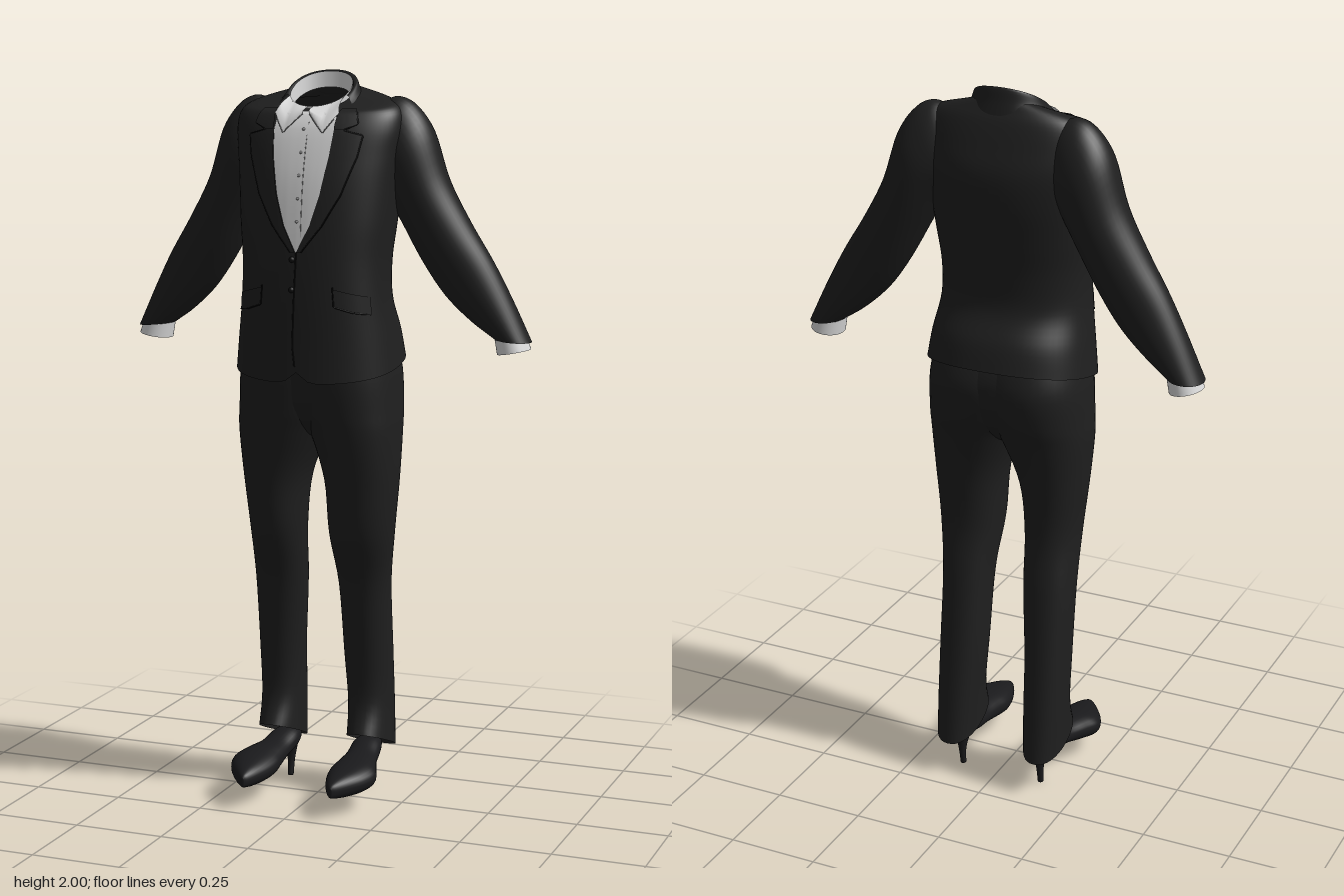
import * as THREE from 'three';

const mat = (name, color) => new THREE.MeshStandardMaterial({ name, color, side: THREE.DoubleSide });

// Catmull-Rom value between numbers b and c
const spline = (a, b, c, d, t) =>
  0.5 * (2 * b + (c - a) * t + (2 * a - 5 * b + 4 * c - d) * t * t + (3 * b - a - 3 * c + d) * t * t * t);

// Skin over rings. Ring: [x0,y0, x1,y1, zFront,zBack, frontLift]
function loft(rings, { sub = 5, seg = 40, e = 0.9, a0 = 0, a1 = Math.PI * 2, caps = 0 } = {}) {
  const n = rings.length, rows = [], pos = [], idx = [];
  const at = (i, p) => rings[Math.min(n - 1, Math.max(0, i))][p] ?? 0;
  for (let i = 0; i < n - 1; i++)
    for (let k = 0; k < sub || (i === n - 2 && k === sub); k++)
      rows.push([0, 1, 2, 3, 4, 5, 6].map(p => spline(at(i - 1, p), at(i, p), at(i + 1, p), at(i + 2, p), k / sub)));
  const pw = v => Math.sign(v) * Math.abs(v) ** e;
  const closed = a1 - a0 > 6.28, cols = closed ? seg : seg + 1;
  for (const [x0, y0, x1, y1, zf, zb, dy] of rows)
    for (let k = 0; k < cols; k++) {
      const a = a0 + (a1 - a0) * k / seg, c = pw(Math.cos(a)), s = pw(Math.sin(a));
      pos.push((x0 + x1) / 2 + (x0 - x1) / 2 * c, (y0 + y1) / 2 + (y0 - y1) / 2 * c + dy * s, (zf + zb) / 2 + (zf - zb) / 2 * s);
    }
  const flip = (rings[n - 1][1] - rings[0][1]) * (rings[0][0] - rings[0][2]) < 0;
  const tri = (a, b, c) => flip ? idx.push(a, c, b) : idx.push(a, b, c);
  for (let j = 0; j < rows.length - 1; j++)
    for (let k = 0; k < seg; k++) {
      const a = j * cols + k, b = j * cols + (k + 1) % cols;
      tri(a, a + cols, b);
      tri(b, a + cols, b + cols);
    }
  [0, rows.length - 1].slice(0, caps).forEach((j, end) => {
    const r = rows[j], c = pos.length / 3;
    pos.push((r[0] + r[2]) / 2, (r[1] + r[3]) / 2, (r[4] + r[5]) / 2);
    for (let k = 0; k < seg; k++) {
      const a = j * cols + k, b = j * cols + (k + 1) % cols;
      end ? tri(c, b, a) : tri(c, a, b);
    }
  });
  return finish(pos, idx);
}

function finish(pos, idx) {
  const g = new THREE.BufferGeometry();
  g.setAttribute('position', new THREE.Float32BufferAttribute(pos, 3));
  g.setIndex(idx);
  g.computeVertexNormals();
  return g;
}

export function createModel() {
  const model = new THREE.Group();
  model.name = 'suit';
  const suit = mat('suit black', 0x1f1f1f), seam = mat('seam black', 0x0e0e0e);
  const shirt = mat('shirt white', 0xdadada), grey = mat('button grey', 0x8c8c8c), leather = mat('shoe black', 0x1a1a1c);
  const add = (name, geo, m) => {
    const mesh = new THREE.Mesh(geo, m);
    mesh.name = name;
    model.add(mesh);
    return mesh;
  };
  const ring = (y, w, zf, zb, dy = 0) => [w, y, -w, y, zf, zb, dy];

  // Jacket body, hem to neck
  const body = loft([
    ring(1.22, .23, .16, -.21, -.04), ring(1.3, .22, .16, -.19, -.03), ring(1.4, .205, .16, -.15, -.01),
    ring(1.5, .203, .157, -.15), ring(1.6, .213, .15, -.165), ring(1.7, .222, .138, -.18),
    ring(1.78, .23, .122, -.18, -.005), ring(1.85, .236, .1, -.16, -.005), ring(1.9, .225, .078, -.138, -.015),
    ring(1.922, .185, .064, -.12, -.025), ring(1.938, .087, .05, -.107, -.036),
  ], { seg: 64, e: 0.85 });
  // Small notch where the fronts part at the hem
  const p = body.attributes.position;
  for (let i = 0; i < p.count; i++)
    if (p.getZ(i) > 0) {
      const fade = Math.max(0, 1 - (p.getY(i) - 1.18) / 0.12);
      p.setY(i, p.getY(i) + 0.03 * fade * Math.exp(-((p.getX(i) / 0.025) ** 2)));
    }
  body.computeVertexNormals();
  const jacket = add('jacketBody', body, suit);

  // Helpers that lay details on the front of the jacket
  const ray = new THREE.Raycaster();
  const drape = (x, y, off) => {
    ray.set(new THREE.Vector3(x, y, 1), new THREE.Vector3(0, 0, -1));
    const hit = ray.intersectObject(jacket)[0];
    return new THREE.Vector3(x, y, Math.max(hit ? hit.point.z : 0, 0) + off);
  };
  // Rows of [xLeft,yLeft, xRight,yRight], top to bottom
  const patch = (rows, off, cols = 10, sub = 5) => {
    const pos = [], idx = [], last = (rows.length - 1) * sub;
    for (let j = 0; j <= last; j++) {
      const i = Math.min(rows.length - 2, Math.floor(j / sub)), t = j / sub - i;
      const r = rows[i].map((v, q) => v + (rows[i + 1][q] - v) * t);
      for (let k = 0; k <= cols; k++) {
        const u = k / cols;
        pos.push(...drape(r[0] + (r[2] - r[0]) * u, r[1] + (r[3] - r[1]) * u, off).toArray());
        if (j < last && k < cols) {
          const a = j * (cols + 1) + k, b = a + cols + 1;
          idx.push(a, b, a + 1, a + 1, b, b + 1);
        }
      }
    }
    return finish(pos, idx);
  };
  const line = (pts, off, r = 0.002) => {
    const fine = [];
    pts.slice(1).forEach((b, i) => {
      for (let k = 0; k < 6; k++)
        fine.push(drape(pts[i][0] + (b[0] - pts[i][0]) * k / 6, pts[i][1] + (b[1] - pts[i][1]) * k / 6, off));
    });
    fine.push(drape(...pts[pts.length - 1], off));
    return new THREE.TubeGeometry(new THREE.CatmullRomCurve3(fine), fine.length * 2, r, 5);
  };
  const mirrorRow = (s, [a, b, c, d]) => s > 0 ? [a, b, c, d] : [-c, d, -a, b];
  const span = (y, a, b) => [a, y, b, y];

  // Folded shirt collar wing, from the neck ring down to a point
  const collarWing = s => {
    const pos = [], idx = [], n = 12, rows = 4;
    for (let k = 0; k <= n; k++) {
      const a = THREE.MathUtils.degToRad(86 - 64 * k / n), u = 2 * k / n;
      const top = new THREE.Vector3(.084 * Math.cos(a), 1.953 - .045 * Math.sin(a), -.027 + .078 * Math.sin(a));
      const low = u < 1 ? drape(.01 + .046 * u, 1.89 - .048 * u, .012) : drape(.056 + .034 * (u - 1), 1.842 + .05 * (u - 1), .012);
      for (let j = 0; j <= rows; j++) {
        const q = top.clone().lerp(low, j / rows);
        pos.push(q.x * s, q.y, q.z + 0.016 * Math.sin(Math.PI * j / rows));
        if (k < n && j < rows) {
          const i = k * (rows + 1) + j, m = i + rows + 1;
          s > 0 ? idx.push(i, i + 1, m, m, i + 1, m + 1) : idx.push(i, m, i + 1, m, m + 1, i + 1);
        }
      }
    }
    return finish(pos, idx);
  };

  // Shirt front with placket and buttons
  add('shirtFront', patch([[1.896, .035], [1.885, .084], [1.85, .086], [1.78, .079], [1.68, .061], [1.6, .037], [1.53, .002]]
    .map(([y, w]) => span(y, -w, w)), 0.005, 18), shirt);
  add('placketLine', line([[.012, 1.87], [.012, 1.57]], 0.005, 0.001), grey);
  for (const y of [1.85, 1.79, 1.73, 1.67, 1.61]) {
    const b = add('shirtButton', new THREE.SphereGeometry(0.004, 10, 8), grey);
    b.position.copy(drape(0, y, 0.005));
  }

  // Shirt collar stand and jacket collar
  add('shirtCollarStand', loft([ring(1.91, .08, .046, -.098, -.045), ring(1.953, .083, .051, -.103, -.045)]), shirt);
  add('jacketCollar', loft([
    ring(1.908, .135, .09, -.13, -.022), ring(1.932, .108, .074, -.122, -.033),
    ring(1.955, .094, .052, -.115, -.045), ring(1.95, .084, .048, -.104, -.045),
  ], { a0: Math.PI - 0.4, a1: Math.PI * 2 + 0.4 }), suit);

  // Front closing
  add('frontSeam', line([[0, 1.53], [-.006, 1.4], [-.01, 1.28], [-.004, 1.225]], 0.002), seam);
  for (const y of [1.51, 1.43]) {
    const b = add('jacketButton', new THREE.SphereGeometry(0.008, 12, 8), seam);
    b.position.copy(drape(-.012, y, 0.002));
  }

  for (const s of [1, -1]) {
    const side = s > 0 ? 'left' : 'right';
    const lay = (name, rows, off, m) => add(side + name, patch(rows.map(r => mirrorRow(s, r)), off), m);
    const draw = (name, pts, off, m = seam, r = 0.002) => add(side + name, line(pts.map(([x, y]) => [x * s, y]), off, r), m);

    // Shirt collar wing, jacket collar front and lapel
    add(side + 'ShirtCollarWing', collarWing(s), shirt);
    draw('ShirtCollarEdge', [[.01, 1.889], [.056, 1.841], [.08, 1.876]], 0.011, grey, 0.0015);
    lay('CollarFront', [span(1.905, .092, .13), span(1.885, .088, .14), span(1.865, .086, .145), span(1.85, .086, .11)], 0.013, suit);
    lay('Lapel', [span(1.855, .085, .1), span(1.835, .084, .16), span(1.78, .079, .15), span(1.68, .061, .115),
      span(1.6, .037, .07), span(1.53, .002, .015)], 0.008, suit);
    draw('LapelEdge', [[.135, 1.895], [.145, 1.865], [.11, 1.848], [.16, 1.835], [.15, 1.78], [.115, 1.68], [.07, 1.6], [.015, 1.53]], 0.007);

    // Pocket flap
    lay('PocketFlap', [[.1, 1.435, .185, 1.412], [.105, 1.385, .188, 1.365]], 0.006, suit);
    draw('PocketEdge', [[.1, 1.44], [.104, 1.388], [.15, 1.372], [.187, 1.366]], 0.006);

    // Sleeve and shirt cuff
    const mirror = ([a, b, c, d, ...z]) => [a * s, b, c * s, d, ...z];
    add(side + 'Sleeve', loft([
      [.165, 1.922, .12, 1.8, -.03, -.11], [.205, 1.934, .12, 1.75, -.01, -.13], [.252, 1.912, .13, 1.72, .006, -.147],
      [.3, 1.845, .165, 1.685, .014, -.16], [.343, 1.715, .213, 1.605, .005, -.16],
      [.402, 1.605, .275, 1.495, -.005, -.155], [.467, 1.5, .338, 1.405, -.018, -.15],
      [.522, 1.395, .41, 1.338, -.028, -.15], [.573, 1.287, .474, 1.295, -.036, -.15],
    ].map(mirror), { e: 1 }), suit);
    add(side + 'Cuff', loft([[.553, 1.32, .47, 1.318, -.043, -.143], [.571, 1.268, .482, 1.252, -.038, -.147]]
      .map(mirror), { e: 1, caps: 1 }), shirt);

    // Trouser leg: y, zFront, zBack, then outer and inner x for each side
    add(side + 'TrouserLeg', loft([
      [1.3, .13, -.165, .205, -.08, .205, -.08], [1.2, .132, -.193, .22, -.075, .222, -.075],
      [1.1, .12, -.178, .226, -.05, .227, -.05], [1.03, .108, -.155, .227, -.018, .228, -.018],
      [.9, .082, -.125, .222, .02, .217, .033], [.75, .06, -.115, .208, .03, .202, .05],
      [.6, .012, -.138, .187, .045, .203, .06], [.4, -.02, -.165, .183, .05, .204, .078],
      [.25, -.028, -.185, .182, .058, .203, .083, .015], [.14, .004, -.198, .184, .062, .203, .085, .04],
    ].map(([y, zf, zb, lo, li, ro, ri, dy]) => s > 0 ? [lo, y, li, y, zf, zb, dy] : [-ro, y, -ri, y, zf, zb, dy])), suit);

    // Shoe, lofted heel to toe: z, centre x, half width, bottom, top
    const shift = s > 0 ? 0 : 0.018;
    const shoe = loft([
      [-.14, .113, .012, .105, .14], [-.128, .113, .03, .1, .15], [-.08, .115, .042, .088, .15], [-.02, .122, .046, .076, .135],
      [.04, .131, .058, .06, .132], [.085, .136, .067, .052, .127], [.13, .133, .057, .05, .12],
      [.175, .126, .035, .053, .11], [.205, .121, .015, .059, .098], [.215, .12, .004, .064, .088],
    ].map(([z, c, w, b, t]) => {
      const x = s * (c + shift);
      return [x + w, z, x - w, z, -b, -t];
    }), { caps: 2, seg: 28 });
    shoe.rotateX(Math.PI / 2);
    add(side + 'Shoe', shoe, leather);
    const hx = s * (0.113 + shift);
    add(side + 'Heel', loft([[.008, 0, -.11, -.128], [.01, .045, -.112, -.136], [.018, .085, -.102, -.142], [.028, .12, -.08, -.143]]
      .map(([w, y, zf, zb]) => [hx + w, y, hx - w, y, zf, zb]), { caps: 2, seg: 16, e: 1 }), leather);
  }

  // Trouser seat joining the legs
  add('trouserSeat', loft([
    ring(1.01, .06, .015, -.07), ring(1.035, .13, .065, -.115), ring(1.1, .21, .108, -.165),
    ring(1.2, .215, .128, -.188), ring(1.29, .205, .13, -.165),
  ]), suit);
  return model;
}
